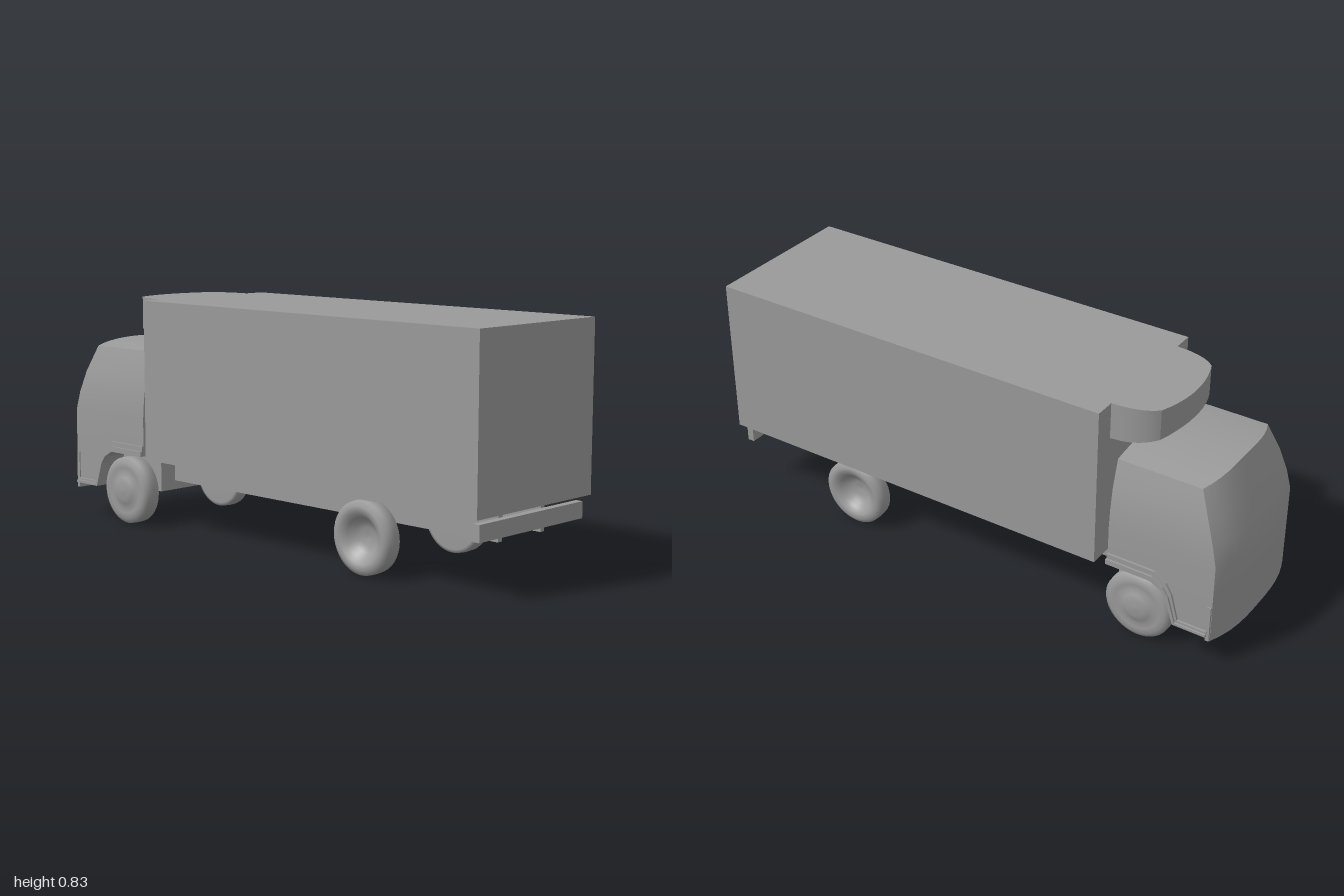
import * as THREE from 'three';
import { toCreasedNormals } from 'three/addons/utils/BufferGeometryUtils.js';

const grey = new THREE.MeshStandardMaterial({ color: 0x9a9a9a });

function add(parent, name, geometry) {
  const mesh = new THREE.Mesh(geometry, grey);
  mesh.name = name;
  parent.add(mesh);
  return mesh;
}

// Box given by its limits on each axis
function boxBetween(x0, x1, y0, y1, z0, z1) {
  return new THREE.BoxGeometry(x1 - x0, y1 - y0, z1 - z0)
    .translate((x0 + x1) / 2, (y0 + y1) / 2, (z0 + z1) / 2);
}

// Stack of horizontal sections with a bowed front and a straight back.
// Row: [y, front x at centre, front x at corner, half width, back x, camber]
function bowedLoft(rows, n = 12) {
  const pos = [], idx = [], ring = 2 * (n + 1);
  for (const [y, xc, cx, w, xb, camber = 0] of rows) {
    for (let k = 0; k < ring; k++) {
      const front = k <= n;
      const t = ((front ? k : ring - 1 - k) / n) * 2 - 1;
      const x = front ? xc + (cx - xc) * Math.abs(t) ** 3 : xb;
      pos.push(x, y + camber * (1 - t * t), t * w);
    }
  }
  for (let r = 0; r < rows.length - 1; r++) {
    for (let k = 0; k < ring; k++) {
      const a = r * ring + k, b = r * ring + (k + 1) % ring;
      idx.push(a, b, b + ring, a, b + ring, a + ring);
    }
  }
  const top = (rows.length - 1) * ring;
  for (let k = 0; k < n; k++) {
    const f0 = k, f1 = k + 1, b0 = ring - 1 - k, b1 = ring - 2 - k;
    idx.push(f0, b1, f1, f0, b0, b1);
    idx.push(top + f0, top + f1, top + b1, top + f0, top + b1, top + b0);
  }
  const g = new THREE.BufferGeometry();
  g.setAttribute('position', new THREE.Float32BufferAttribute(pos, 3));
  g.setIndex(idx);
  return toCreasedNormals(g, 0.45);
}

function shapeOf(points) {
  return new THREE.Shape(points.map(([x, y]) => new THREE.Vector2(x, y)));
}

// Smooth wheel turned around z, outer face towards +z, centred on its axle
function wheelGeometry(hub) {
  const profile = [[0, 0.2], [0.11, 0.2], [0.122, 0.205], [0.124, 0.23], [0.123, 0.253],
    [0.105, 0.265], ...hub];
  return new THREE.LatheGeometry(profile.map(([r, z]) => new THREE.Vector2(r, z)), 40)
    .rotateX(Math.PI / 2);
}

export function createModel() {
  const truck = new THREE.Group();
  truck.name = 'boxTruck';

  // Cargo body
  add(truck, 'cargoBox', boxBetween(-0.53, 1, 0.26, 0.835, -0.29, 0.29));

  // Cooling unit over the cab: bowed front, rounded sides, rising underside
  const plan = new THREE.Shape();
  plan.moveTo(-0.53, -0.215);
  plan.lineTo(-0.57, -0.212);
  plan.quadraticCurveTo(-0.645, -0.203, -0.683, -0.165);
  plan.bezierCurveTo(-0.727, -0.06, -0.727, 0.06, -0.683, 0.165);
  plan.quadraticCurveTo(-0.645, 0.203, -0.57, 0.212);
  plan.lineTo(-0.53, 0.215);
  const unit = new THREE.ExtrudeGeometry(plan, { depth: 0.13, bevelEnabled: false, curveSegments: 10 })
    .rotateX(-Math.PI / 2).translate(0, 0.705, 0);
  const p = unit.attributes.position;
  for (let i = 0; i < p.count; i++) {
    if (p.getY(i) < 0.75) {
      const t = Math.max(0, (-0.53 - p.getX(i)) / 0.185);
      p.setY(i, 0.705 + 0.03 * t * t);
    }
  }
  add(truck, 'coolingUnit', toCreasedNormals(unit, 0.4));

  // Cab
  const cab = new THREE.Group();
  cab.name = 'cab';
  truck.add(cab);
  add(cab, 'cabShell', bowedLoft([
    [0.125, -1, -0.957, 0.268, -0.825],
    [0.2, -1, -0.957, 0.268, -0.805],
    [0.24, -1, -0.957, 0.268, -0.78],
    [0.265, -1, -0.957, 0.268, -0.74],
    [0.265, -1, -0.957, 0.268, -0.568],
    [0.4, -1, -0.957, 0.268, -0.568],
    [0.47, -0.981, -0.94, 0.263, -0.568],
    [0.55, -0.953, -0.913, 0.251, -0.568],
    [0.645, -0.908, -0.873, 0.225, -0.568, 0.021],
  ]));
  add(cab, 'frontBumper', bowedLoft([
    [0.105, -0.999, -0.954, 0.272, -0.94],
    [0.24, -0.999, -0.954, 0.272, -0.94],
  ]));
  add(cab, 'cabFloor', boxBetween(-0.84, -0.568, 0.125, 0.27, -0.185, 0.185));

  // Sill and wheel arch trim, with a slimmer raised lip
  const trim = shapeOf([[-0.945, 0.125], [-0.825, 0.125], [-0.795, 0.215], [-0.775, 0.243],
    [-0.735, 0.265], [-0.568, 0.265], [-0.568, 0.302], [-0.745, 0.302], [-0.79, 0.272],
    [-0.812, 0.235], [-0.838, 0.142], [-0.945, 0.142]]);
  const lip = shapeOf([[-0.945, 0.125], [-0.825, 0.125], [-0.795, 0.215], [-0.775, 0.243],
    [-0.735, 0.265], [-0.568, 0.265], [-0.568, 0.284], [-0.74, 0.284], [-0.782, 0.257],
    [-0.804, 0.225], [-0.832, 0.134], [-0.945, 0.134]]);
  for (const [side, s] of [['left', 1], ['right', -1]]) {
    for (const [name, shape, depth] of [['ArchTrim', trim, 0.026], ['ArchLip', lip, 0.033]]) {
      add(cab, side + name, new THREE.ExtrudeGeometry(shape, { depth, bevelEnabled: false })
        .translate(0, 0, s > 0 ? 0.25 : -0.25 - depth));
    }
  }

  // Chassis
  for (const s of [1, -1]) {
    add(truck, 'chassisRail', boxBetween(-0.57, 0.945, 0.158, 0.252, s * 0.108 - 0.01, s * 0.108 + 0.01));
  }
  add(truck, 'rearBumper', boxBetween(0.962, 0.988, 0.185, 0.241, -0.263, 0.263));

  // Wheels: domed hubs in front, dished hubs at the rear
  const front = wheelGeometry([[0.085, 0.264], [0.065, 0.262], [0.05, 0.27], [0.03, 0.275], [0, 0.277]]);
  const rear = wheelGeometry([[0.085, 0.262], [0.068, 0.248], [0.052, 0.23], [0.03, 0.22], [0, 0.217]]);
  for (const turn of [0, Math.PI]) {
    for (const [name, g, x] of [['frontWheel', front, -0.682], ['rearWheel', rear, 0.497]]) {
      const wheel = add(truck, name, g);
      wheel.position.set(x, 0.124, 0);
      wheel.rotation.y = turn;
    }
  }
  return truck;
}
